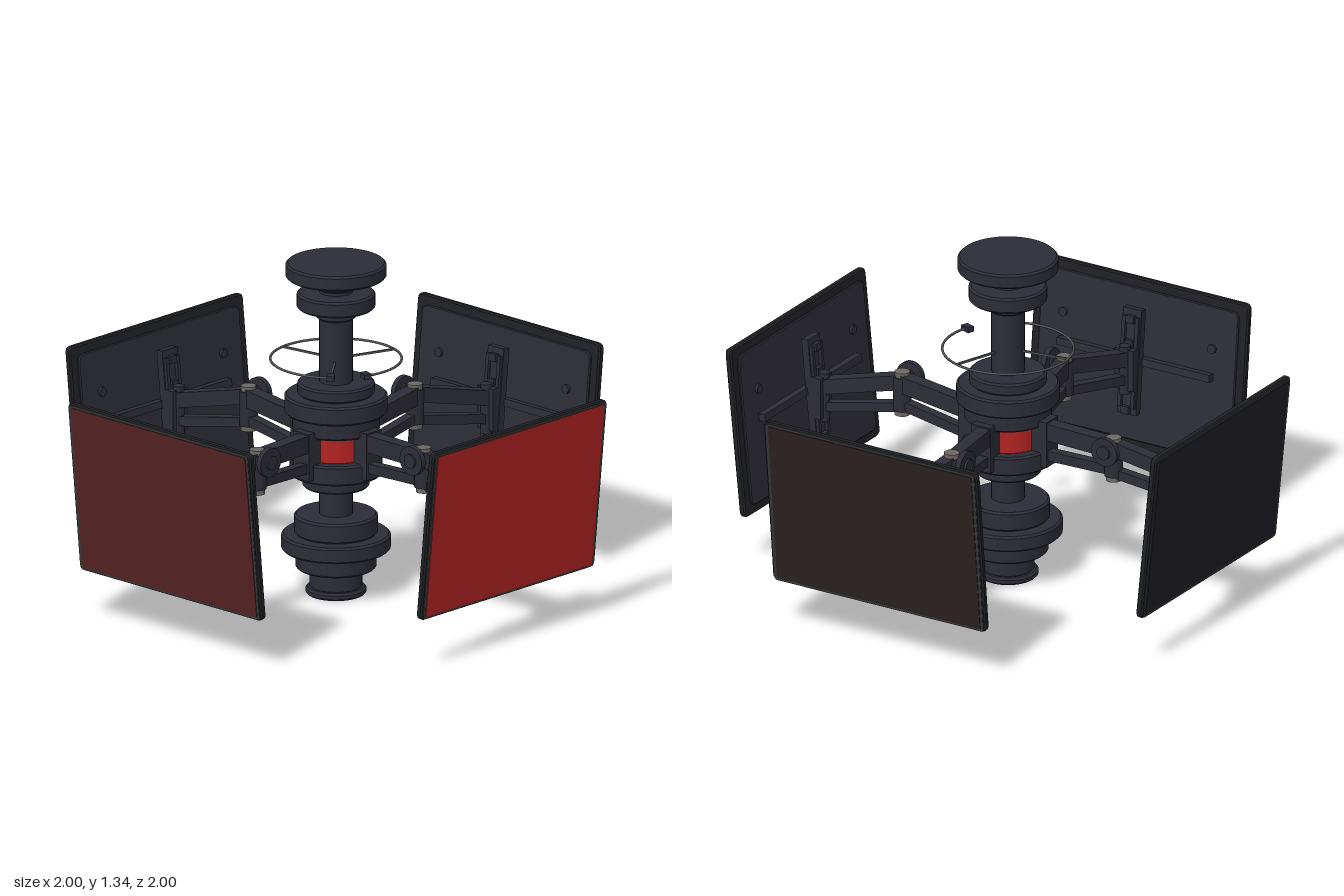
import * as THREE from 'three';
import { toCreasedNormals } from 'three/addons/utils/BufferGeometryUtils.js';

const mat = (name, color) => Object.assign(new THREE.MeshStandardMaterial({ color }), { name });
const V = (x, y, z) => new THREE.Vector3(x, y, z);

export function createModel() {
  const body = mat('charcoal', 0x2c2d36);
  const frameMat = mat('black frame', 0x202125);
  const rimMat = mat('grey rim', 0x343838);
  const metal = mat('metal', 0x525254);
  const joint = mat('joint grey', 0x6c6963);
  const red = mat('red', 0xb32323);
  const maroon = mat('maroon', 0x572223);
  const brown = mat('dark brown', 0x2a2120);
  const dark = mat('dark screen', 0x222228);

  const add = (parent, name, geo, material, x = 0, y = 0, z = 0) => {
    const m = new THREE.Mesh(geo, material);
    m.name = name;
    m.position.set(x, y, z);
    parent.add(m);
    return m;
  };
  const box = (w, h, d) => new THREE.BoxGeometry(w, h, d);

  // Disc with chamfered edges, from y0 to y1
  const disc = (parent, name, r, y0, y1, material = body, c = 0.008) => {
    const pts = [[0, y0], [r - c, y0], [r, y0 + c], [r, y1 - c], [r - c, y1], [0, y1]]
      .map(([x, y]) => new THREE.Vector2(x, y));
    return add(parent, name, toCreasedNormals(new THREE.LatheGeometry(pts, 48), 0.6), material);
  };

  // Square bar running between two points
  const beam = (parent, name, a, b, w, h, material = body) => {
    const m = new THREE.Mesh(box(w, h, a.distanceTo(b)), material);
    m.name = name;
    m.position.copy(a).add(b).multiplyScalar(0.5);
    m.lookAt(b);
    parent.add(m);
    return m;
  };

  // Flat plate with rounded corners and a small bevel, centred on z = 0
  const plate = (w, h, r, d, bevel) => {
    const s = new THREE.Shape();
    const x = w / 2 - bevel, y = h / 2 - bevel;
    s.moveTo(-x + r, -y);
    s.lineTo(x - r, -y); s.quadraticCurveTo(x, -y, x, -y + r);
    s.lineTo(x, y - r); s.quadraticCurveTo(x, y, x - r, y);
    s.lineTo(-x + r, y); s.quadraticCurveTo(-x, y, -x, y - r);
    s.lineTo(-x, -y + r); s.quadraticCurveTo(-x, -y, -x + r, -y);
    const g = new THREE.ExtrudeGeometry(s, {
      depth: d - 2 * bevel, bevelEnabled: bevel > 0, bevelSize: bevel,
      bevelThickness: bevel, bevelSegments: 1, curveSegments: 4,
    });
    return g.translate(0, 0, -d / 2 + bevel);
  };

  const model = new THREE.Group();
  model.name = 'screenCarousel';

  // Central column: stacked discs on a post
  const column = new THREE.Group();
  column.name = 'column';
  model.add(column);
  add(column, 'post', new THREE.CylinderGeometry(0.065, 0.065, 1.28, 32), body, 0, 0.66, 0);
  for (const [name, r, y0, y1] of [
    ['baseFoot', 0.118, 0.005, 0.035], ['baseNeck', 0.102, 0.03, 0.112],
    ['baseDisc', 0.157, 0.11, 0.185], ['baseFlange', 0.212, 0.185, 0.25],
    ['baseCap', 0.162, 0.25, 0.33],
    ['hubCone', 0.13, 0.44, 0.5], ['hubLower', 0.18, 0.49, 0.57],
    ['hubCollar', 0.17, 0.67, 0.74], ['hubFlange', 0.2, 0.74, 0.815], ['hubCap', 0.15, 0.815, 0.865],
    ['postCollar', 0.078, 1.12, 1.15], ['upperDisc', 0.152, 1.162, 1.226],
    ['neckCollar', 0.08, 1.24, 1.275], ['topDisc', 0.195, 1.285, 1.345],
  ]) disc(column, name, r, y0, y1);
  disc(column, 'hubRedBand', 0.14, 0.57, 0.67, red, 0.002);

  // Thin guide ring with spokes and two clips
  const ring = new THREE.Group();
  ring.name = 'guideRing';
  ring.position.y = 0.955;
  model.add(ring);
  const arc = new THREE.TorusGeometry(0.254, 0.005, 8, 72, THREE.MathUtils.degToRad(328));
  add(ring, 'ringArc', arc.rotateZ(THREE.MathUtils.degToRad(-20)).rotateX(-Math.PI / 2), metal);
  const polar = (deg, r) => {
    const a = THREE.MathUtils.degToRad(deg);
    return V(r * Math.cos(a), 0, -r * Math.sin(a));
  };
  for (const deg of [70, 187, -52]) beam(ring, 'ringSpoke', polar(deg, 0.06), polar(deg, 0.254), 0.008, 0.008, metal);
  for (const deg of [-52, -20]) {
    const p = polar(deg, 0.25);
    add(ring, 'ringClip', box(0.042, 0.022, 0.03), body, p.x, 0, p.z).rotation.y = THREE.MathUtils.degToRad(deg);
  }

  // Folding arm reaching along +z; s picks the side its elbow bends to
  const makeArm = (s) => {
    const arm = new THREE.Group();
    arm.name = 'arm';
    const ex = 0.06 * s, ez = 0.515, mx = -0.015;
    beam(arm, 'innerBeam', V(0, 0.655, 0.12), V(ex, 0.675, ez), 0.055, 0.07);
    beam(arm, 'innerRod', V(0, 0.55, 0.12), V(ex, 0.585, ez), 0.04, 0.04);
    beam(arm, 'outerBeam', V(ex, 0.68, ez), V(mx, 0.6, 0.86), 0.052, 0.06);
    beam(arm, 'outerRod', V(ex, 0.575, ez), V(mx, 0.515, 0.86), 0.04, 0.038);
    add(arm, 'elbowPin', new THREE.CylinderGeometry(0.03, 0.03, 0.18, 20), joint, ex, 0.63, ez);
    add(arm, 'elbowBlock', new THREE.CylinderGeometry(0.036, 0.036, 0.14, 20), body, ex, 0.63, ez);
    add(arm, 'knobAxle', new THREE.CylinderGeometry(0.015, 0.015, 0.08, 12).rotateZ(Math.PI / 2), joint, ex + 0.035 * s, 0.68, ez);
    add(arm, 'knob', new THREE.CylinderGeometry(0.058, 0.058, 0.022, 28).rotateZ(Math.PI / 2), body, 0.122 * s, 0.68, ez);
    add(arm, 'knobHub', new THREE.CylinderGeometry(0.028, 0.028, 0.04, 20).rotateZ(Math.PI / 2), body, 0.122 * s, 0.68, ez);
    add(arm, 'hubBracket', box(0.085, 0.19, 0.07), body, 0, 0.605, 0.165);
    add(arm, 'wrist', box(0.085, 0.17, 0.045), body, mx, 0.56, 0.855);
    add(arm, 'wristPin', new THREE.CylinderGeometry(0.022, 0.022, 0.2, 16), body, mx, 0.56, 0.84);
    return arm;
  };

  // Tilted display with rear bracket
  const makeDisplay = (screen) => {
    const d = new THREE.Group();
    d.name = 'display';
    d.position.set(-0.02, 0.55, 0.942);
    d.rotation.set(0.1, -0.017, 0, 'YXZ');
    add(d, 'frame', plate(0.975, 0.695, 0.02, 0.028, 0.006), frameMat);
    add(d, 'screenRim', plate(0.955, 0.685, 0.014, 0.004, 0), rimMat, 0, 0, 0.014);
    add(d, 'screen', plate(0.93, 0.665, 0.006, 0.006, 0), screen, 0, 0, 0.0155);
    add(d, 'rearCover', plate(0.9, 0.62, 0.03, 0.012, 0.004), body, 0, 0, -0.018);
    add(d, 'crossBar', box(0.7, 0.03, 0.03), body, 0, 0.025, -0.038);
    add(d, 'bracket', box(0.085, 0.43, 0.03), body, 0, 0.025, -0.06);
    for (const x of [-1, 1]) {
      add(d, 'bracketRail', box(0.016, 0.37, 0.016), body, 0.03 * x, 0.025, -0.08);
      add(d, 'rearKnob', new THREE.CylinderGeometry(0.018, 0.018, 0.012, 16).rotateX(Math.PI / 2), body, 0.34 * x, 0.14, -0.029);
    }
    for (const y of [-0.17, -0.05, 0.1, 0.2]) add(d, 'bracketBolt', box(0.035, 0.03, 0.024), body, 0, y, -0.082);
    return d;
  };

  // Four stations: front, +x side, back, -x side
  [maroon, red, brown, dark].forEach((screen, k) => {
    const station = new THREE.Group();
    station.name = 'station';
    station.rotation.y = k * Math.PI / 2;
    station.add(makeArm(k % 2 ? -1 : 1), makeDisplay(screen));
    model.add(station);
  });

  return model;
}
